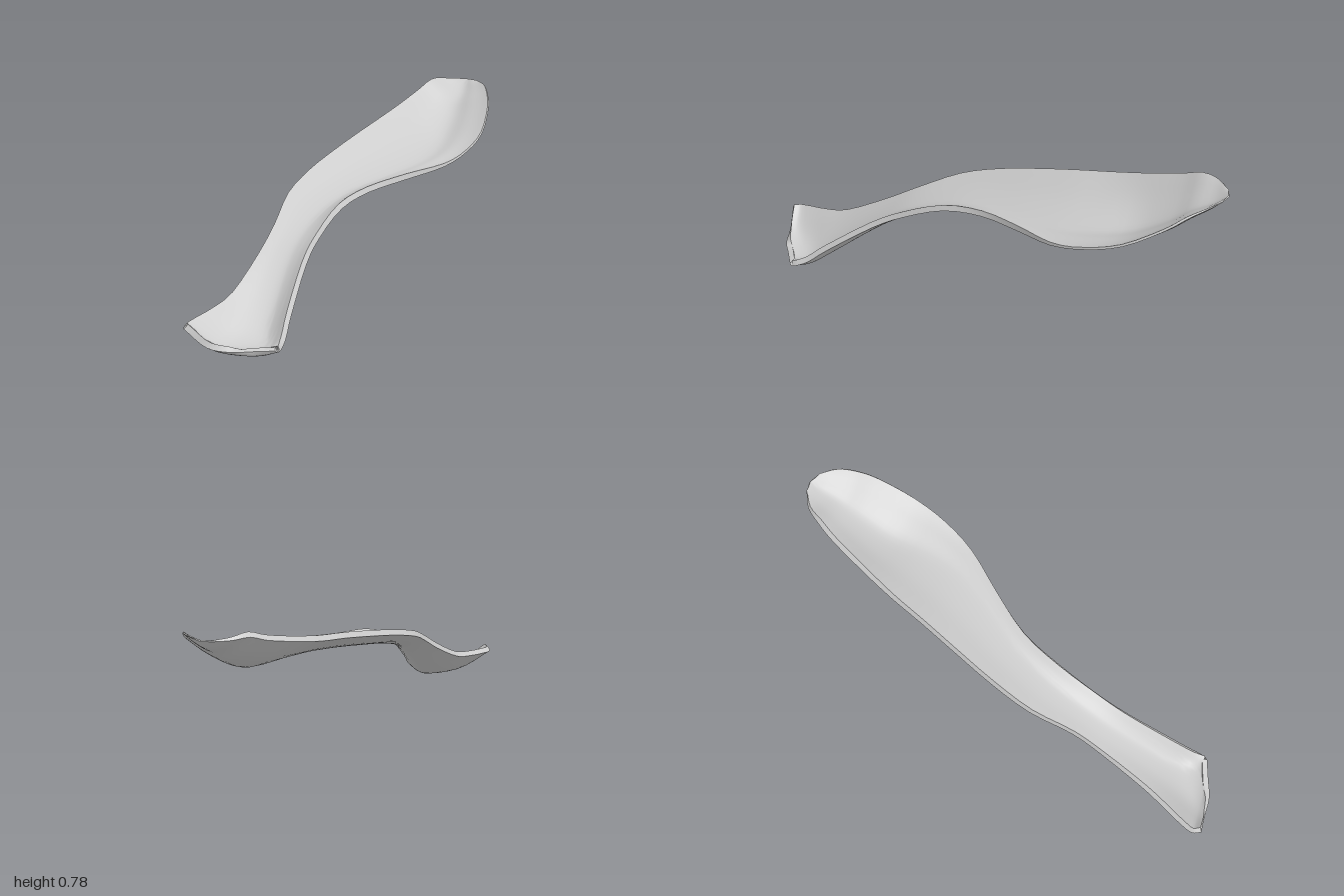
import * as THREE from 'three';
import { toCreasedNormals, mergeVertices } from 'three/addons/utils/BufferGeometryUtils.js';

const V = (p) => new THREE.Vector3(...p);
const { smoothstep, lerp } = THREE.MathUtils;

// Rails running from the back tip to the front lip: raised rim, belly, low rim
const highRim = [
  [0.03, 0.772, -0.99], [-0.03, 0.772, -0.945], [-0.065, 0.768, -0.88], [-0.092, 0.733, -0.8],
  [-0.127, 0.683, -0.65], [-0.157, 0.638, -0.5], [-0.18, 0.602, -0.35], [-0.209, 0.557, -0.18],
  [-0.237, 0.505, 0], [-0.247, 0.44, 0.18], [-0.217, 0.352, 0.36], [-0.213, 0.27, 0.5],
  [-0.225, 0.165, 0.7], [-0.25, 0.132, 0.82], [-0.27, 0.118, 0.9], [-0.278, 0.108, 0.96], [-0.258, 0.112, 0.995],
];
const belly = [
  [0.07, 0.772, -1], [0.075, 0.725, -0.95], [0.08, 0.68, -0.88], [0.085, 0.62, -0.8],
  [0.09, 0.546, -0.66], [0.11, 0.513, -0.5], [0.1, 0.489, -0.35], [0.04, 0.463, -0.18],
  [-0.04, 0.43, 0], [-0.08, 0.383, 0.18], [-0.095, 0.312, 0.36], [-0.085, 0.225, 0.5],
  [-0.05, 0.075, 0.7], [-0.03, 0.016, 0.79], [-0.03, 0.005, 0.86], [-0.05, 0.015, 0.92], [-0.09, 0.034, 0.955],
];
const lowRim = [
  [0.12, 0.772, -0.985], [0.175, 0.762, -0.94], [0.215, 0.735, -0.88], [0.25, 0.682, -0.8],
  [0.277, 0.598, -0.65], [0.267, 0.545, -0.5], [0.222, 0.503, -0.35], [0.125, 0.474, -0.18],
  [0.035, 0.448, 0], [-0.002, 0.414, 0.18], [-0.012, 0.338, 0.36], [-0.003, 0.262, 0.5],
  [0.034, 0.125, 0.7], [0.052, 0.062, 0.78], [0.061, 0.036, 0.83], [0.06, 0.026, 0.86], [0.052, 0.034, 0.872],
];

const rails = [highRim, belly, lowRim].map((r) => new THREE.CatmullRomCurve3(r.map(V), false, 'catmullrom'));
const NU = 48, NV = 16;

// Wall thickness: tapers at the back tip and along the low rim of the bowl
function thickness(u, v) {
  const thinRim = smoothstep(v, 0.7, 1) * (1 - smoothstep(u, 0.33, 0.45));
  return 0.024 * Math.min(1, 0.2 + 6 * u) * lerp(1, 0.4, thinRim);
}

// Underside: a smooth curve across the three rails at every station
function undersideGrid() {
  const grid = [];
  for (let i = 0; i <= NU; i++) {
    const u = i / NU;
    const [l, b, r] = rails.map((c) => c.getPoint(u));
    const sag = lerp(0.17, 0.36, smoothstep(u, 0.75, 0.92));
    const between = (rim) => {
      const p = rim.clone().lerp(b, 0.5);
      p.y -= sag * (rim.y - b.y);
      return p;
    };
    const cross = new THREE.CatmullRomCurve3([l, between(l), b, between(r), r]);
    grid.push(Array.from({ length: NV + 1 }, (_, j) => cross.getPoint(j / NV)));
  }
  return grid;
}

// Closed shell: underside, offset upper face, rim and end caps
function shellGeometry() {
  const grid = undersideGrid();
  const ring = 2 * (NV + 1);
  const pos = [], index = [];
  grid.forEach((row, i) => {
    const upper = row.map((p, j) => {
      const du = grid[Math.min(i + 1, NU)][j].clone().sub(grid[Math.max(i - 1, 0)][j]);
      const dv = row[Math.min(j + 1, NV)].clone().sub(row[Math.max(j - 1, 0)]);
      return p.clone().addScaledVector(du.cross(dv).normalize(), thickness(i / NU, j / NV));
    });
    [...row, ...upper.reverse()].forEach((p) => pos.push(p.x, p.y, p.z));
  });
  const quad = (a, b, c, d) => index.push(a, b, c, a, c, d);
  for (let i = 0; i < NU; i++) {
    for (let k = 0; k < ring; k++) {
      const a = i * ring + k, b = i * ring + (k + 1) % ring;
      quad(a, b, b + ring, a + ring);
    }
  }
  const last = NU * ring;
  for (let j = 0; j < NV; j++) {
    const m = ring - 1 - j;
    quad(j, m, m - 1, j + 1);
    quad(last + j, last + j + 1, last + m - 1, last + m);
  }
  const geo = new THREE.BufferGeometry();
  geo.setAttribute('position', new THREE.Float32BufferAttribute(pos, 3));
  geo.setIndex(index);
  return toCreasedNormals(mergeVertices(geo), 0.7);
}

export function createModel() {
  const paleGrey = new THREE.MeshStandardMaterial({ color: 0xcccccc });
  paleGrey.name = 'pale grey';
  const shell = new THREE.Mesh(shellGeometry(), paleGrey);
  shell.name = 'curvedScoopShell';
  const group = new THREE.Group();
  group.name = 'scoop';
  group.add(shell);
  return group;
}
